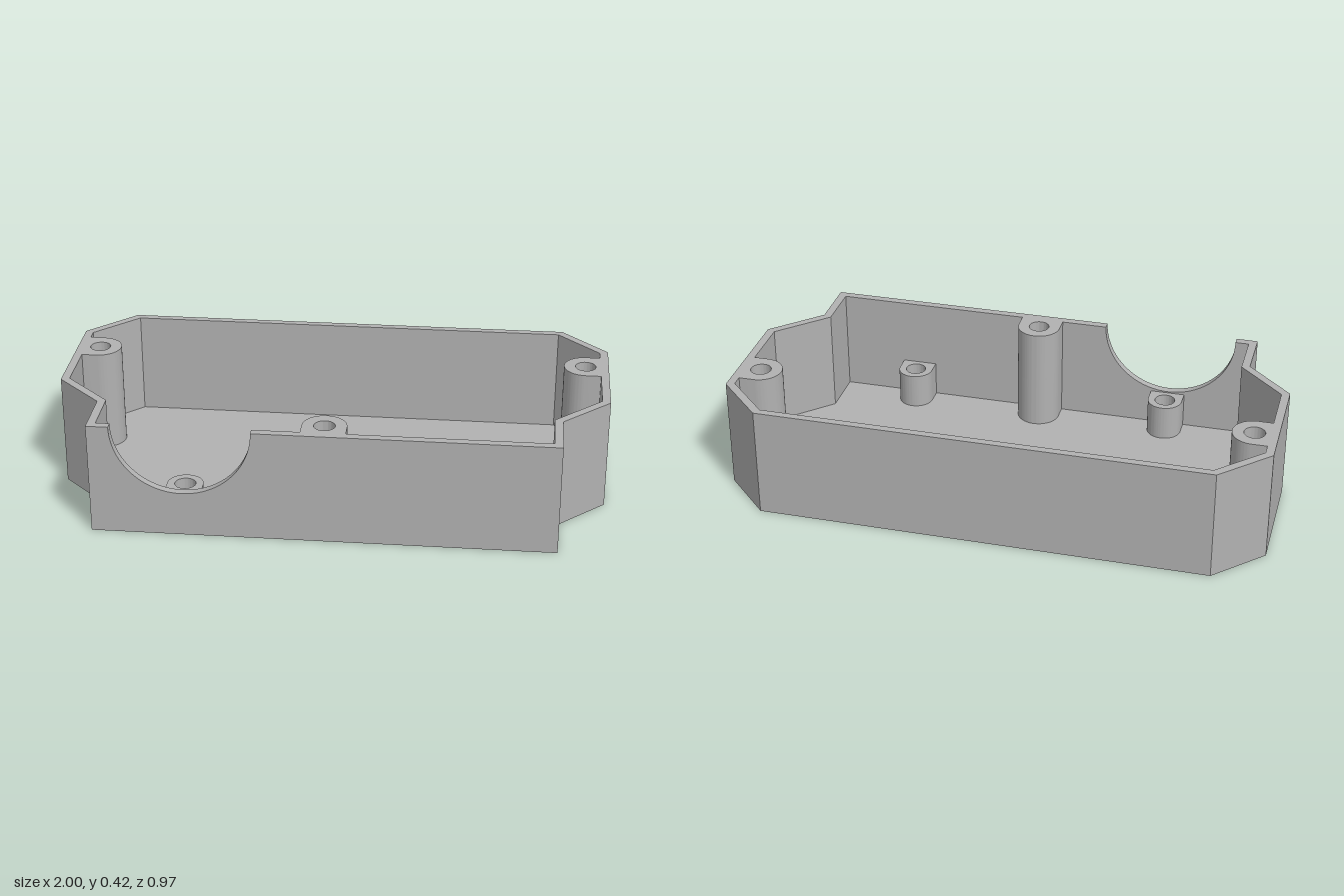
import * as THREE from 'three';
import { toCreasedNormals } from 'three/addons/utils/BufferGeometryUtils.js';

const HEIGHT = 0.415, FLOOR = 0.027, FRONT = 0.487, INNER_FRONT = 0.457;
const THROUGH = 0.038, BORE = 0.063, BORE_TOP = 0.22;

// Screw posts: plan centre, radius, top height, direction of the wall they join
const POSTS = [
  { name: 'leftPost', x: 0.915, z: -0.18, r: 0.08, top: HEIGHT, toWall: 0, bored: true },
  { name: 'rightPost', x: -0.915, z: -0.18, r: 0.08, top: HEIGHT, toWall: Math.PI, bored: true },
  { name: 'frontPost', x: 0, z: 0.4, r: 0.08, top: HEIGHT, toWall: -Math.PI / 2, bored: true },
  { name: 'leftShortPost', x: 0.5, z: 0.4, r: 0.065, top: 0.16, toWall: -Math.PI / 2 },
  { name: 'rightShortPost', x: -0.5, z: 0.4, r: 0.065, top: 0.16, toWall: -Math.PI / 2 },
];

// Half outlines in plan [x, z], running from the front to the back
const OUTER = [[0.83, 0.287], [1, 0.12], [1, -0.315], [0.83, -FRONT]];
const INNER = [[0.8, 0.275], [0.97, 0.108], [0.97, -0.303], [0.815, -0.459]];

// Complete a half outline with its mirror image
const mirrored = (half) => [...half, ...half.map(([x, z]) => [-x, z]).reverse()];
const planShape = (points) => new THREE.Shape(points.map(([x, z]) => new THREE.Vector2(x, -z)));

function addHole(shape, x, z, r) {
  const hole = new THREE.Path();
  hole.absarc(x, -z, r, 0, Math.PI * 2, true);
  shape.holes.push(hole);
}

// Extrude a plan shape upward between two heights
function upright(shape, bottom, top) {
  const geo = new THREE.ExtrudeGeometry(shape, { depth: top - bottom, bevelEnabled: false, curveSegments: 32 });
  geo.rotateX(-Math.PI / 2).translate(0, bottom, 0);
  return toCreasedNormals(geo, 0.5);
}

// Rounded post with a straight-sided web running into the wall
function postShape({ x, z, r, toWall, bored }, holeRadius) {
  const reach = bored ? 0.075 : 0.06;
  const shape = new THREE.Shape();
  const a = toWall + Math.PI / 2, b = toWall + Math.PI * 1.5;
  shape.absarc(x, -z, r, a, b, false);
  for (const side of [b, a]) {
    shape.lineTo(
      x + reach * Math.cos(toWall) + r * Math.cos(side),
      -z + reach * Math.sin(toWall) + r * Math.sin(side));
  }
  addHole(shape, x, z, holeRadius);
  return shape;
}

export function createModel() {
  const group = new THREE.Group();
  const plastic = new THREE.MeshStandardMaterial({ color: 0xb2b2b2 });
  plastic.name = 'greyPlastic';
  const add = (name, geo) => {
    const mesh = new THREE.Mesh(geo, plastic);
    mesh.name = name;
    group.add(mesh);
  };

  // Floor with screw holes
  const floor = planShape(mirrored([[0.83, FRONT], ...OUTER]));
  for (const p of POSTS) addHole(floor, p.x, p.z, p.bored ? BORE : THROUGH);
  add('floor', upright(floor, 0, FLOOR));

  // Side and back walls as one open band
  const outer = mirrored([[0.83, INNER_FRONT], ...OUTER]);
  const inner = mirrored([[0.8, INNER_FRONT], ...INNER]).reverse();
  add('sideAndBackWalls', upright(planShape([...outer, ...inner]), FLOOR, HEIGHT));

  // Front wall with a half-round cutout in its top edge
  const front = new THREE.Shape();
  front.moveTo(-0.83, FLOOR);
  front.lineTo(0.83, FLOOR);
  front.lineTo(0.83, HEIGHT);
  front.lineTo(-0.25, HEIGHT);
  front.absarc(-0.5, HEIGHT, 0.25, 0, -Math.PI, true);
  front.lineTo(-0.83, HEIGHT);
  const frontGeo = new THREE.ExtrudeGeometry(front, {
    depth: FRONT - INNER_FRONT, bevelEnabled: false, curveSegments: 48,
  });
  add('frontWall', toCreasedNormals(frontGeo.translate(0, 0, INNER_FRONT), 0.5));

  // Posts; the tall ones have a wider bore from below
  for (const p of POSTS) {
    const start = p.bored ? BORE_TOP : FLOOR;
    if (p.bored) add(p.name + 'Base', upright(postShape(p, BORE), FLOOR, BORE_TOP));
    add(p.name, upright(postShape(p, THROUGH), start, p.top));
  }
  return group;
}
